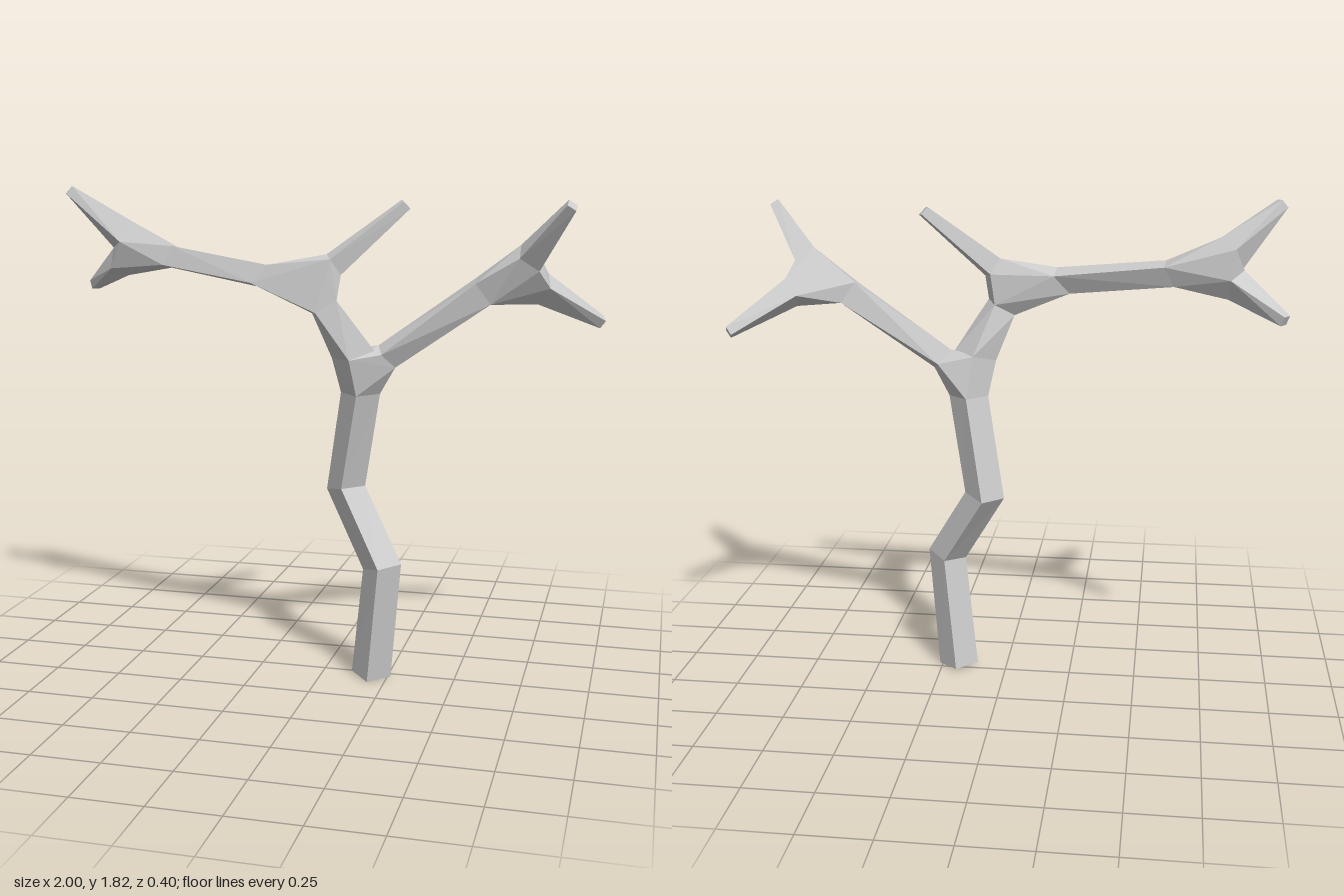
import * as THREE from 'three';
import { ConvexGeometry } from 'three/addons/geometries/ConvexGeometry.js';

const material = new THREE.MeshStandardMaterial({ color: 0xcccccc, flatShading: true });

// Four-cornered cross-section facing along dir, r = half diagonal
function ring(center, dir, r, roll = 0) {
  const c = new THREE.Vector3(...center);
  const d = new THREE.Vector3(...dir).normalize();
  const v = new THREE.Vector3(0, 0, 1).addScaledVector(d, -d.z).normalize();
  const u = new THREE.Vector3().crossVectors(d, v);
  return [0, 1, 2, 3].map((k) => {
    const a = (k * Math.PI) / 2 + roll;
    return c.clone().addScaledVector(u, r * Math.cos(a)).addScaledVector(v, r * Math.sin(a));
  });
}

// Closed skin through a list of rings
function limb(name, rings) {
  const pts = [];
  const quad = (a, b, c, d) => pts.push(a, b, c, a, c, d);
  for (let i = 0; i + 1 < rings.length; i++) {
    const a = rings[i], b = rings[i + 1];
    for (let k = 0; k < 4; k++) {
      const n = (k + 1) % 4;
      quad(a[n], a[k], b[k], b[n]);
    }
  }
  const s = rings[0], e = rings[rings.length - 1];
  quad(s[0], s[1], s[2], s[3]);
  quad(e[3], e[2], e[1], e[0]);
  const g = new THREE.BufferGeometry().setFromPoints(pts);
  g.computeVertexNormals();
  const mesh = new THREE.Mesh(g, material);
  mesh.name = name;
  return mesh;
}

// Faceted knot joining the rings that meet at a fork
function knot(name, ...rings) {
  const mesh = new THREE.Mesh(new ConvexGeometry(rings.flat()), material);
  mesh.name = name;
  return mesh;
}

export function createModel() {
  const tree = new THREE.Group();
  tree.name = 'bareTree';

  // Crooked trunk
  const trunkTop = ring([0.142, 1.09, 0.04], [0, 1, 0.03], 0.073);
  const trunk = [
    ring([0.187, 0.008, 0.03], [0.07, 1, 0.07], 0.075),
    ring([0.235, 0.448, 0.075], [-0.2, 1, -0.1], 0.073),
    ring([0.076, 0.72, -0.016], [-0.13, 1, -0.13], 0.074),
    trunkTop,
  ];

  // Main fork
  const rightBase = ring([0.122, 1.235, 0.075], [-0.2, 1, 0.15], 0.08);
  const leftBase = ring([0.24, 1.228, 0.045], [1, 0.9, 0], 0.053, 0.3);

  // Upper fork on the right limb
  const rightTop = ring([0.03, 1.41, 0.135], [-0.55, 1, 0.1], 0.062, 0.4);
  const longBase = ring([-0.2, 1.515, 0.125], [-0.7, 0.6, -0.2], 0.062, 0.65);
  const twigBase = ring([0.062, 1.56, 0.125], [0.9, 0.65, -0.25], 0.05, 0.4);
  const longEnd = ring([-0.59, 1.567, 0], [-1, 0.5, -0.2], 0.056, 0.65);

  // Tip forks
  const rightUp = ring([-0.8, 1.645, -0.035], [-0.85, 0.5, 0.35], 0.068, 0.2);
  const rightDown = ring([-0.82, 1.54, -0.06], [-0.85, -0.35, -0.5], 0.058, 0.2);
  const leftEnd = ring([0.582, 1.47, 0.03], [1, 0.7, 0], 0.065, 0.6);
  const leftUp = ring([0.745, 1.59, 0.055], [0.7, 0.75, 0.4], 0.06, 0.4);
  const leftDown = ring([0.785, 1.477, -0.03], [0.9, -0.4, -0.5], 0.058, 0.3);

  tree.add(
    limb('trunk', trunk),
    knot('mainFork', trunkTop, rightBase, leftBase),
    limb('rightLimb', [rightBase, rightTop]),
    knot('upperFork', rightTop, longBase, twigBase),
    limb('longBranch', [longBase, longEnd]),
    knot('rightTipFork', longEnd, rightUp, rightDown),
    limb('leftLimb', [leftBase, leftEnd]),
    knot('leftTipFork', leftEnd, leftUp, leftDown),
  );

  // Tapered twigs
  const twigs = [
    ['middleTwig', twigBase, [0.305, 1.77, 0.05], [0.7, 0.7, -0.2], 0.4],
    ['rightUpperTwig', rightUp, [-0.973, 1.813, 0.05], [-0.7, 0.7, 0.33], 0.5],
    ['rightLowerTwig', rightDown, [-0.985, 1.44, -0.185], [-0.75, -0.4, -0.5], 0.5],
    ['leftUpperTwig', leftUp, [0.892, 1.775, 0.18], [0.6, 0.7, 0.45], 0.5],
    ['leftLowerTwig', leftDown, [0.985, 1.35, -0.17], [0.75, -0.4, -0.5], 0.5],
  ];
  for (const [name, base, tip, dir, roll] of twigs) {
    tree.add(limb(name, [base, ring(tip, dir, 0.025, roll)]));
  }
  return tree;
}
